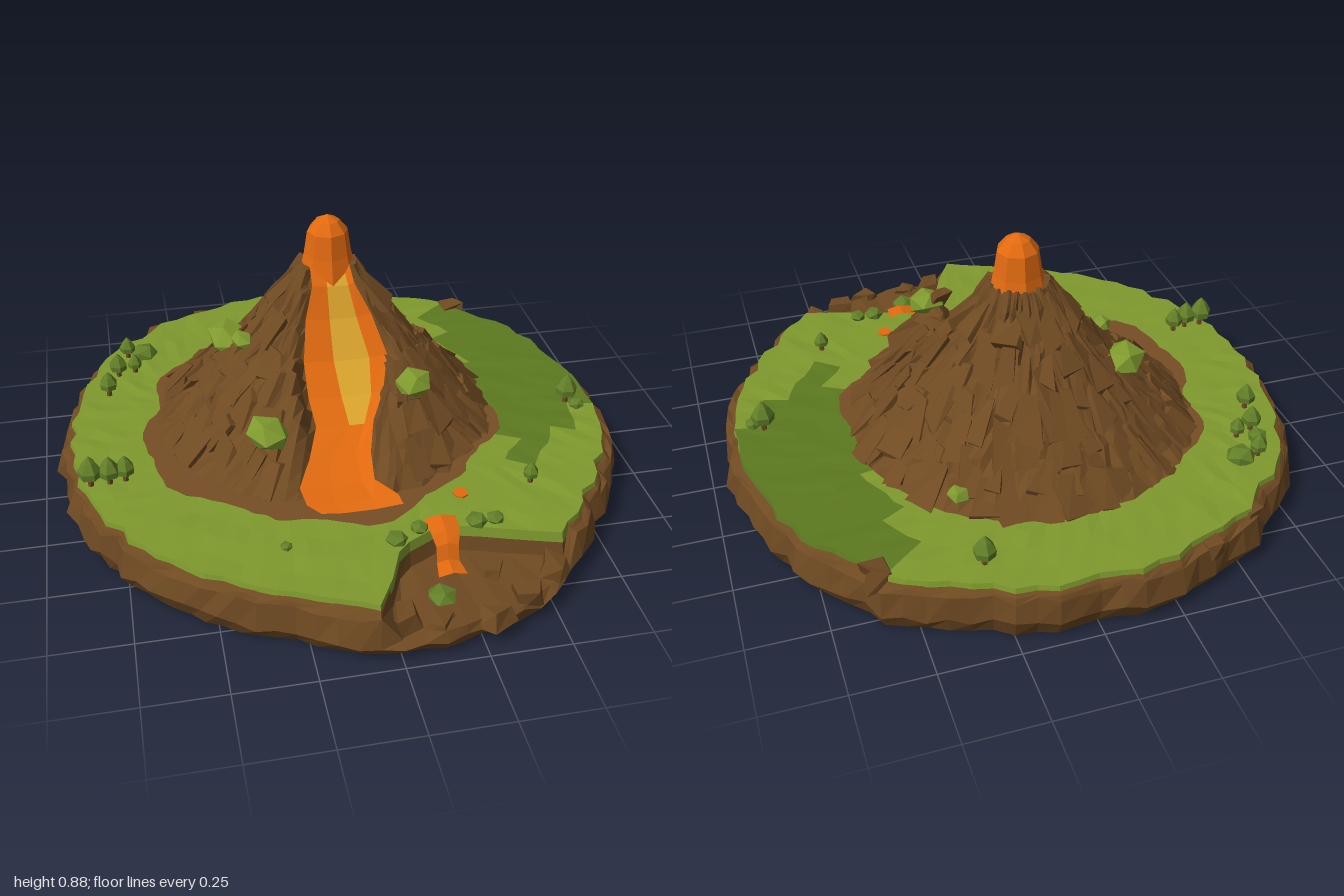
import * as THREE from 'three';
import { mergeGeometries } from 'three/addons/utils/BufferGeometryUtils.js';

const mat = (name, color) => {
  const m = new THREE.MeshStandardMaterial({ color, flatShading: true, side: THREE.DoubleSide });
  m.name = name;
  return m;
};
const M = {
  rock: mat('brown rock', 0x6f4a22), earth: mat('bare earth', 0x764e25),
  grass: mat('light grass', 0x7f9a2e), darkGrass: mat('dark grass', 0x5d7a20),
  leaf: mat('leaf green', 0x627f28), lava: mat('orange lava', 0xe26a10), hot: mat('yellow lava', 0xdca52e),
};

// Seeded noise and helpers
let seed = 7;
const rnd = () => { seed = (seed * 16807) % 2147483647; return seed / 2147483647; };
const jit = (s) => (rnd() - 0.5) * 2 * s;
const hash = (i, j) => { const s = Math.sin(i * 127.1 + j * 311.7) * 43758.5453; return (s - Math.floor(s)) * 2 - 1; };
const lerp = THREE.MathUtils.lerp;
function table(pts, x, k = 1) { // linear lookup of column k
  if (x <= pts[0][0]) return pts[0][k];
  for (let i = 1; i < pts.length; i++) {
    const a = pts[i - 1], b = pts[i];
    if (x <= b[0]) return lerp(a[k], b[k], (x - a[0]) / (b[0] - a[0]));
  }
  return pts[pts.length - 1][k];
}
// Skin over rows x columns; pick chooses which cells are kept
function grid(rows, cols, closed, f, pick = () => true) {
  const pos = [], idx = [], n = closed ? cols : cols + 1;
  for (let i = 0; i <= rows; i++) for (let j = 0; j < n; j++) pos.push(...f(i, j));
  for (let i = 0; i < rows; i++) for (let j = 0; j < cols; j++) {
    const a = i * n + j, b = i * n + (j + 1) % n, c = a + n, d = b + n;
    if (pick(i, j, (k) => [pos[k * 3], pos[k * 3 + 1], pos[k * 3 + 2]], a)) idx.push(a, c, b, b, c, d);
  }
  const g = new THREE.BufferGeometry();
  g.setAttribute('position', new THREE.Float32BufferAttribute(pos, 3));
  g.setIndex(idx);
  g.computeVertexNormals();
  return g;
}

// Island plan: outline, grass edge (with the cove at the front) and earth patch, by angle from +z
const SEG = 96;
const angle = (j) => (j / SEG) * Math.PI * 2;
const outline = [[0, 0.97], [17, 0.99], [30, 0.98], [49, 0.92], [68, 0.94], [90, 0.94], [118, 0.96], [140, 1.0],
  [162, 0.98], [180, 0.985], [204, 1.0], [223, 1.0], [246, 0.97], [270, 0.94], [292, 0.92], [315, 0.92], [341, 0.91], [360, 0.97]];
const cove = [[-3, 1], [1.5, 0.73], [8, 0.67], [18, 0.64], [25, 0.7], [33, 0.81], [40, 1]];
const deg = (j) => { const d = (j / SEG) * 360; return d > 350 ? d - 360 : d; };
const inCove = (j) => deg(j) > -3 && deg(j) < 40;
const rim = (j) => table(outline, (deg(j) + 360) % 360) - 0.015 + hash(j, 3) * 0.015;
const edge = (j) => Math.min(rim(j) - 0.03 + hash(j, 5) * 0.01, inCove(j) ? table(cove, deg(j)) : 2);
const patch = (j) => {
  const a = angle(j), r = 0.595 + 0.025 * Math.sin(a * 5 + 1) + 0.015 * Math.sin(a * 11) + hash(j, 8) * 0.008;
  return [-0.06 + Math.sin(a) * r, -0.06 + Math.cos(a) * r];
};

// Lava course: z, y, left edge, hot left, hot right, right edge
const course = [[-0.12, 0.73, -0.07, -0.02, 0.04, 0.06], [-0.07, 0.67, -0.07, -0.02, 0.05, 0.07],
  [-0.03, 0.57, -0.1, -0.02, 0.07, 0.12], [0.04, 0.45, -0.12, -0.02, 0.1, 0.16], [0.12, 0.36, -0.12, -0.01, 0.09, 0.13],
  [0.2, 0.3, -0.11, 0, 0.05, 0.08], [0.3, 0.25, -0.15, -0.08, 0, 0.05], [0.4, 0.215, -0.2, -0.1, 0, 0.04],
  [0.47, 0.2, -0.19, -0.1, 0.02, 0.1], [0.5, 0.183, -0.15, -0.08, 0.02, 0.11]];
const slope = [[0.1, 0.72], [0.165, 0.6], [0.24, 0.5], [0.33, 0.4], [0.43, 0.3], [0.57, 0.18]];

// Mountain height, with the front ridge raised and the lava channel carved
function mountainY(x, z, r) {
  let y = table(slope, r ?? Math.hypot(x + 0.03, z + 0.12));
  y += 0.13 * Math.exp(-((x - 0.2) ** 2 + (z - 0.23) ** 2) / 0.012);
  if (z > 0.02) y = Math.min(y, 0.48);
  if (z > -0.1) {
    const out = Math.max(table(course, z, 2) - x, x - table(course, z, 5), 0);
    y = Math.min(y, table(course, z) - 0.03 + Math.max(0, out - 0.01) * 4);
  }
  return Math.max(y, 0.15);
}

// One angular stone: a box tapered and jittered
function stone(w, h, d, taper = 0.6) {
  const g = new THREE.BoxGeometry(w, h, d), p = g.attributes.position;
  const off = Array.from({ length: 8 }, () => [jit(w * 0.2), jit(h * 0.15), jit(d * 0.2)]);
  for (let i = 0; i < p.count; i++) {
    const x = p.getX(i), y = p.getY(i), z = p.getZ(i);
    const o = off[(x > 0 ? 1 : 0) + (y > 0 ? 2 : 0) + (z > 0 ? 4 : 0)], s = y > 0 ? taper : 1;
    p.setXYZ(i, x * s + o[0], y + o[1], z * s + o[2]);
  }
  g.computeVertexNormals();
  return g;
}

export function createModel() {
  const model = new THREE.Group();
  const add = (name, geo, m, parent = model) => {
    const mesh = new THREE.Mesh(geo, m);
    mesh.name = name;
    parent.add(mesh);
    return mesh;
  };

  // Rocky island body, including the cove wall and its lower floor
  add('islandRock', grid(5, SEG, true, (i, j) => {
    const a = angle(j), R = rim(j), G = edge(j), floor = inCove(j) ? 0.09 : 0.155;
    const ring = [[G, 0.165], [Math.min(G + 0.015, R), floor + hash(j, 1) * 0.006], [R, floor - 0.01 + hash(j, 2) * 0.012],
      [R + 0.015 + hash(j, 6) * 0.012, 0.06 + hash(j, 4) * 0.015], [R - 0.02, 0], [0, 0]][i];
    return [Math.sin(a) * ring[0], ring[1], Math.cos(a) * ring[0]];
  }), M.rock);

  // Grass ring in two greens, with a turned-down lip
  const grassPoint = (i, j) => {
    const a = angle(j), p = patch(j), G = edge(j), t = Math.min(i / 4, 1);
    const s = i === 5 ? 1.008 : 1;
    return [lerp(p[0], Math.sin(a) * G, t) * s, i === 5 ? 0.145 : 0.18 + (i > 0 && i < 4 ? hash(i, j) * 0.003 : 0),
      lerp(p[1], Math.cos(a) * G, t) * s];
  };
  const isDark = (i, j, at, k) => {
    const [x, , z] = at(k);
    return x > 0.48 && z > -0.7 && z < 0.35 - (x - 0.55) * 1.15;
  };
  add('lightGrass', grid(5, SEG, true, grassPoint, (...c) => !isDark(...c)), M.grass);
  add('darkGrass', grid(5, SEG, true, grassPoint, isDark), M.darkGrass);
  add('earthPatch', grid(1, SEG, true, (i, j) => {
    const p = patch(j);
    return i ? [p[0], 0.181, p[1]] : [-0.06, 0.187, -0.06];
  }), M.earth);

  // Mountain skin
  const radii = [0, 0.07, 0.1, 0.13, 0.165, 0.2, 0.24, 0.285, 0.33, 0.38, 0.43, 0.48, 0.53, 0.575];
  add('mountain', grid(radii.length - 1, SEG, true, (i, j) => {
    const a = angle(j), t = radii[i] / 0.575, r = radii[i] + (i > 2 ? hash(i, j) * 0.012 : 0);
    const x = lerp(0, -0.03, t) + Math.sin(a) * r, z = lerp(-0.17, -0.12, t) + Math.cos(a) * r;
    return [x, mountainY(x, z, radii[i]) + (i > 1 ? hash(Math.floor(j / 2), i) * 0.012 : 0), z];
  }), M.rock);

  // Leaning slabs that break up the slopes
  const slabs = [];
  for (let ring = 0; ring < 7; ring++) {
    const r = 0.15 + ring * 0.062, count = 11 + ring * 4;
    for (let k = 0; k < count; k++) {
      const a = ((k + rnd() * 0.7) / count) * Math.PI * 2;
      const x = -0.03 * (r / 0.57) + Math.sin(a) * r, z = -0.17 + 0.05 * (r / 0.57) + Math.cos(a) * r;
      const h = 0.1 + rnd() * 0.07, w = 0.05 + rnd() * 0.045;
      if (z > -0.12 && x > table(course, z, 2) - 0.06 && x < table(course, z, 5) + 0.06) continue;
      const g = stone(w, h, 0.035, 0.65);
      g.rotateX(-0.72 + jit(0.12)).rotateY(a + jit(0.35)).translate(x, mountainY(x, z, r) - 0.005, z);
      slabs.push(g);
    }
  }
  add('mountainSlabs', mergeGeometries(slabs), M.rock);

  // Lava plug on the summit
  const plug = new THREE.LatheGeometry([[0.1, 0.67], [0.08, 0.75], [0.068, 0.83], [0.04, 0.865], [0, 0.885]]
    .map(([x, y]) => new THREE.Vector2(x, y)), 8);
  add('lavaPlug', plug, M.lava).position.z = -0.17;

  // Lava stream with a hot yellow core
  const flow = (i, j) => [course[i][2 + j], course[i][1] + (j === 0 || j === 3 ? 0.008 : 0), course[i][0]];
  const core = (i, j) => j === 1 && i < 5;
  add('lavaStream', grid(9, 3, false, flow, (i, j) => !core(i, j)), M.lava);
  add('lavaCore', grid(9, 3, false, flow, core), M.hot);

  // Lava fall in the cove
  const fall = [[0.58, 0.186, 0.05], [0.65, 0.18, 0.045], [0.675, 0.15, 0.035], [0.69, 0.1, 0.035], [0.75, 0.096, 0.045]];
  add('lavaFall', grid(4, 2, false, (i, j) => [0.205 + (j - 1) * fall[i][2], fall[i][1] + (j === 1 ? 0.01 : 0), fall[i][0]]), M.lava);
  add('lavaPuddle', new THREE.CylinderGeometry(0.025, 0.025, 0.006, 7), M.lava).position.set(0.3, 0.19, 0.48);

  // Moss on the slopes: x, z, size
  for (const [x, z, s] of [[-0.33, -0.25, 0.09], [-0.27, 0.22, 0.08], [0.2, 0.22, 0.07], [0.3, -0.53, 0.045], [-0.3, -0.12, 0.045]]) {
    const m = add('moss', new THREE.IcosahedronGeometry(s, 0), M.grass);
    m.position.set(x, mountainY(x, z) + 0.005, z);
    m.scale.set(0.9, 0.65, 1);
    m.rotation.set(0.3, x * 9, -x);
  }

  // Trees: x, z, height
  for (const [x, z, h] of [[-0.84, 0.2, 0.12], [-0.78, 0.2, 0.11], [-0.73, 0.19, 0.1], [-0.76, -0.33, 0.1], [-0.72, -0.45, 0.1],
    [-0.66, -0.47, 0.08], [-0.68, -0.58, 0.09], [0.3, -0.8, 0.11], [0.81, 0.03, 0.12], [0.54, 0.45, 0.08]]) {
    const tree = new THREE.Group();
    tree.name = 'tree';
    tree.position.set(x, 0.175, z);
    add('trunk', new THREE.CylinderGeometry(0.008, 0.01, h * 0.5, 5), M.rock, tree).position.y = h * 0.22;
    const crown = new THREE.LatheGeometry([[0, 0.25], [0.3, 0.35], [0.32, 0.55], [0.17, 0.8], [0, 1]]
      .map(([u, v]) => new THREE.Vector2(u * h, v * h)), 6);
    add('crown', crown, M.leaf, tree).rotation.y = x * 7;
    model.add(tree);
  }

  // Bushes by the cove and along the meadow: x, z, size
  for (const [x, z, s] of [[0.31, 0.62, 0.035], [0.37, 0.62, 0.03], [0.05, 0.66, 0.035], [0.13, 0.62, 0.03], [-0.62, -0.58, 0.05],
    [-0.72, -0.5, 0.035], [0.15, 0.82, 0.05], [-0.28, 0.63, 0.02], [0.84, 0.06, 0.03]]) {
    const b = add('bush', new THREE.IcosahedronGeometry(s, 0), M.leaf);
    b.position.set(x, x === 0.15 ? 0.085 : 0.19, z);
    b.scale.y = 0.7;
    b.rotation.y = x * 11;
  }

  // Boulders on the rim and in the cove: x, z, size, y
  const boulders = [[0.6, -0.73, 0.09, 0.16], [0.88, 0, 0.06, 0.15], [-0.55, -0.78, 0.08, 0.14], [-0.38, -0.88, 0.07, 0.14],
    [0.02, 0.9, 0.08, 0.1], [0.12, 0.92, 0.07, 0.08], [0.28, 0.92, 0.08, 0.08], [0.4, 0.86, 0.08, 0.09],
    [0.5, 0.78, 0.08, 0.11], [0.33, 0.75, 0.06, 0.1]].map(([x, z, s, y]) =>
    stone(s, s * 0.7, s, 0.75).rotateY(x * 8).translate(x, y, z));
  add('boulders', mergeGeometries(boulders), M.rock);

  return model;
}
